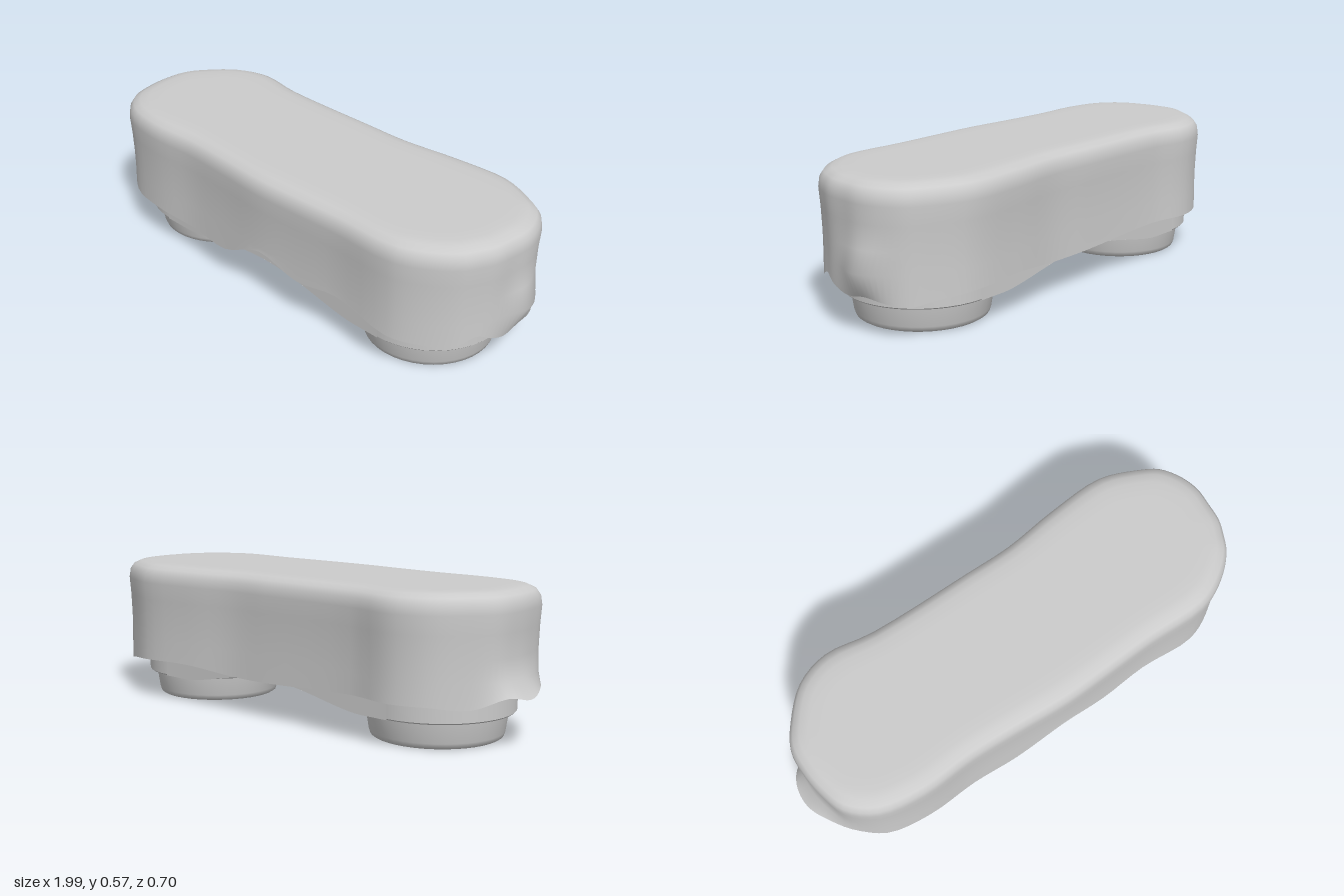
import * as THREE from 'three';
import { mergeGeometries, toCreasedNormals } from 'three/addons/utils/BufferGeometryUtils.js';
import { ParametricGeometry } from 'three/addons/geometries/ParametricGeometry.js';

const SPACING = 0.595; // distance of each cup from the middle
const R = 0.295;       // radius of the body's round ends
const BODY_TOP = 0.46;
const BODY_Z = -0.005;

const material = new THREE.MeshStandardMaterial({ color: 0xcccccc, side: THREE.DoubleSide });

// Cover outline seen from above, with the hem height: x, z, hem
const OUTLINE = [
  [0, -0.31, 0.15], [0.2, -0.31, 0.15], [0.43, -0.338, 0.17], [0.67, -0.347, 0.165],
  [0.82, -0.29, 0.15], [0.9, -0.24, 0.135], [0.95, -0.16, 0.147], [0.97, -0.08, 0.155],
  [0.965, 0, 0.145], [0.955, 0.08, 0.17], [0.93, 0.14, 0.195], [0.89, 0.21, 0.165],
  [0.79, 0.29, 0.165], [0.67, 0.337, 0.17], [0.42, 0.335, 0.215], [0.22, 0.342, 0.19],
  [0.02, 0.347, 0.235], [-0.2, 0.332, 0.142], [-0.4, 0.322, 0.15], [-0.62, 0.33, 0.16],
  [-0.8, 0.295, 0.165], [-0.9, 0.21, 0.2], [-0.935, 0.1, 0.2], [-0.945, 0, 0.185],
  [-0.935, -0.1, 0.2], [-0.88, -0.19, 0.16], [-0.77, -0.3, 0.17], [-0.63, -0.345, 0.17],
  [-0.43, -0.316, 0.17],
];

// Cover rows from the hem up: height (0 = hem), width factor, left flare, right flare
const ROWS = [
  [0, 0.98, 0.06, -0.015], [0.25, 0.975, 0.012, 0.035], [0.33, 0.975, 0, 0.008],
  [0.42, 0.985, 0, 0], [0.49, 1, 0, 0], [0.525, 0.985, 0, 0], [0.548, 0.94, 0, 0],
  [0.561, 0.86, 0, 0], [0.566, 0.76, 0, 0], [0.567, 0.6, 0, 0], [0.567, 0, 0, 0],
];

function coverGeometry() {
  const curve = new THREE.CatmullRomCurve3(
    OUTLINE.map(([x, z, hem]) => new THREE.Vector3(x, hem, z)), true);
  const n = OUTLINE.length * 4;
  const positions = [], index = [];
  ROWS.forEach(([y, width, left, right], r) => {
    for (let i = 0; i < n; i++) {
      const p = curve.getPoint(i / n);
      // shrink towards a straight spine so the ends stay round
      const spine = THREE.MathUtils.clamp(p.x, -0.62, 0.62);
      const end = THREE.MathUtils.smoothstep(Math.abs(p.x), 0.84, 0.94);
      const flare = p.x < 0
        ? -left * end * Math.exp(-((p.z / 0.17) ** 2))
        : right * end * Math.exp(-(((p.z + 0.08) / 0.1) ** 2));
      positions.push(spine + (p.x - spine) * width + flare, y || p.y, p.z * width);
      if (r > 0) {
        const j = (i + 1) % n, a = (r - 1) * n, b = r * n;
        index.push(a + i, b + i, a + j, a + j, b + i, b + j);
      }
    }
  });
  const g = new THREE.BufferGeometry();
  g.setAttribute('position', new THREE.Float32BufferAttribute(positions, 3));
  g.setIndex(index);
  g.computeVertexNormals();
  return g;
}

// Height of the body's arched underside
const arch = (x) => 0.1 + 0.065 * Math.cos((Math.min(Math.abs(x) / 0.47, 1) * Math.PI) / 2) ** 1.5;

// Bridge between the round ends: arched underside fitted to them, and two side walls
function bridgeGeometry() {
  const underside = new ParametricGeometry((u, v, p) => {
    const z = -R * Math.cos(u * Math.PI);
    const x = (2 * v - 1) * (SPACING - Math.sqrt(Math.max(0, R * R - z * z)));
    p.set(x, arch(x), z);
  }, 24, 24);
  const walls = [-1, 1].map((s) => new ParametricGeometry((u, v, p) => {
    const x = s * (2 * u - 1) * SPACING;
    p.set(x, THREE.MathUtils.lerp(arch(x), BODY_TOP, v), s * R);
  }, 40, 1));
  return mergeGeometries([underside, ...walls]);
}

// Round end with an open cup below
function cupGeometry() {
  const profile = [
    [0, 0.44], [0.236, 0.44], [0.236, 0.004], [0.24, 0], [0.248, 0.005], [0.254, 0.022],
    [0.266, 0.1], [0.29, 0.1], [R, 0.105], [R, BODY_TOP],
  ].map(([x, y]) => new THREE.Vector2(x, y));
  return toCreasedNormals(new THREE.LatheGeometry(profile, 40), 0.7);
}

export function createModel() {
  const model = new THREE.Group();
  model.name = 'coveredTwinCups';
  const add = (name, geometry, x = 0, z = 0) => {
    const mesh = new THREE.Mesh(geometry, material);
    mesh.name = name;
    mesh.position.set(x, 0, z);
    model.add(mesh);
  };

  add('cover', coverGeometry());
  add('bridge', bridgeGeometry(), 0, BODY_Z);
  const cup = cupGeometry();
  add('leftCup', cup, SPACING, BODY_Z);
  add('rightCup', cup, -SPACING, BODY_Z);
  return model;
}
